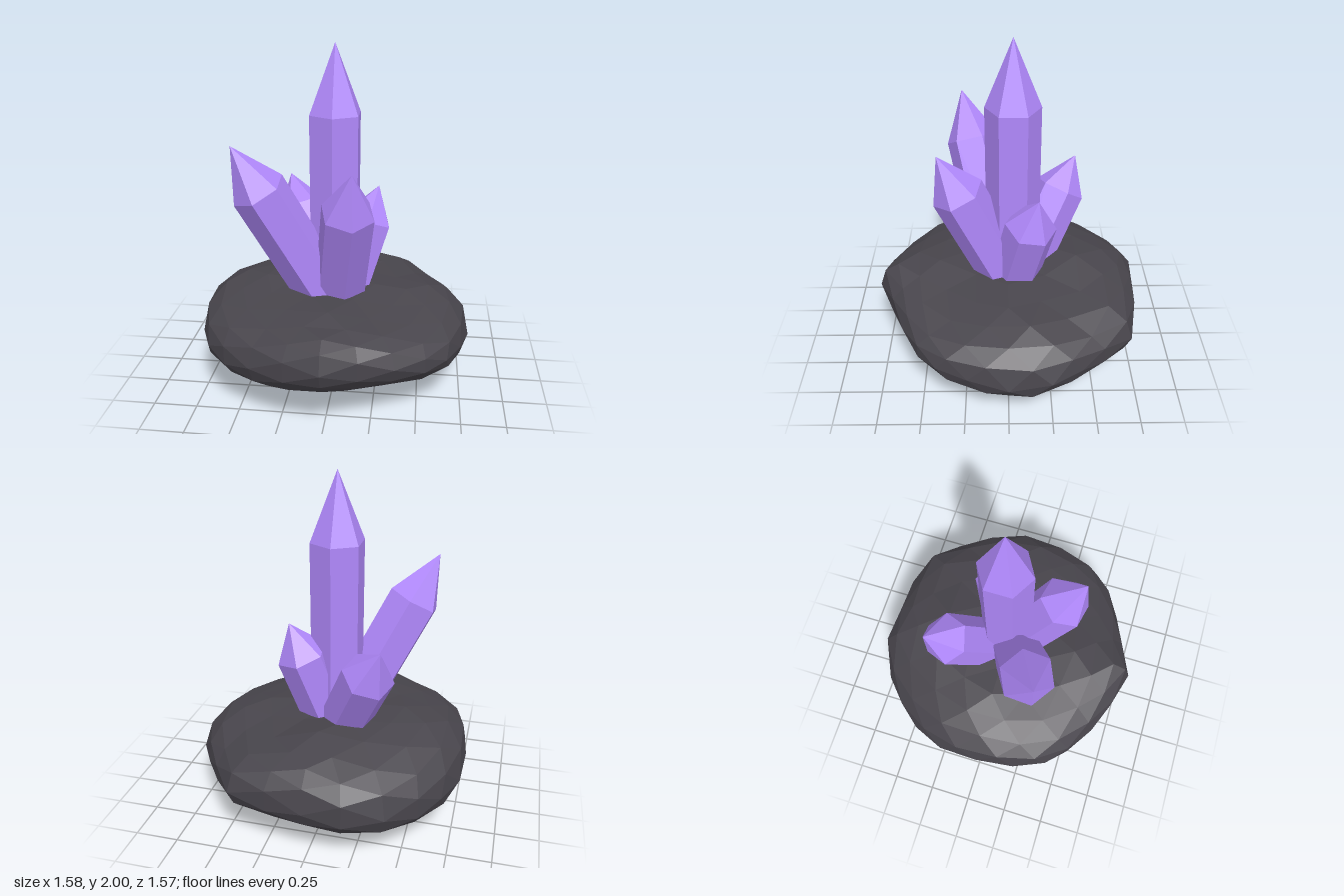
import * as THREE from 'three';

const crystalMaterial = new THREE.MeshStandardMaterial({ color: 0xb088fb, flatShading: true });
const rockMaterial = new THREE.MeshStandardMaterial({ color: 0x48454c, flatShading: true });

// Rock outline seen from above: radius at equal angles, from +x towards +z
const outline = [
  0.79, 0.77, 0.775, 0.75, 0.715, 0.72, 0.78, 0.76, 0.755, 0.78, 0.80, 0.79,
  0.785, 0.81, 0.815, 0.815, 0.82, 0.82, 0.785, 0.79, 0.84, 0.79, 0.78, 0.805,
];
// At equal angles: height of the widest line, height the top swells to, depth of the underside
const rimHeight = [0.29, 0.35, 0.40, 0.34, 0.34, 0.295, 0.34, 0.34];
const topHeight = [0.61, 0.53, 0.68, 0.61, 0.70, 0.62, 0.69, 0.56];
const underDepth = [0.33, 0.27, 0.27, 0.32, 0.35, 0.33, 0.29, 0.30];

// Value of a table around the y axis in the direction of (x, z)
function around(table, x, z) {
  const n = table.length;
  const a = ((Math.atan2(z, x) / (2 * Math.PI)) * n + n) % n;
  const i = Math.floor(a);
  return THREE.MathUtils.lerp(table[i % n], table[(i + 1) % n], a - i);
}

const bump = (x, z, cx, cz, w) => Math.exp(-((x - cx) ** 2 + (z - cz) ** 2) / (w * w));

// Faceted boulder: a low-poly sphere with a flattened, uneven top and a bulging underside
function makeRock() {
  const { lerp } = THREE.MathUtils;
  const geometry = new THREE.IcosahedronGeometry(1, 3);
  const p = geometry.attributes.position;
  for (let i = 0; i < p.count; i++) {
    const up = p.getY(i);
    const out = Math.hypot(p.getX(i), p.getZ(i));
    const r = around(outline, p.getX(i), p.getZ(i)) * 1.005;
    const x = p.getX(i) * r;
    const z = p.getZ(i) * r;
    const middle = lerp(0.35, around(rimHeight, x, z), out * out);
    const top = lerp(0.57, around(topHeight, x, z), out) + 0.03 * bump(x, z, -0.2, -0.3, 0.3);
    const depth = lerp(0.29, around(underDepth, x, z), out) + 0.075 * bump(x, z, -0.15, -0.25, 0.26);
    const ripple = 0.01 * Math.sin(9 * x + 2 * z) * Math.cos(8 * z - 3 * x);
    const y = up > 0 ? lerp(middle, top, up ** 0.75) : middle + up * depth;
    p.setXYZ(i, x, y + ripple, z);
  }
  geometry.computeBoundingBox();
  geometry.translate(0, -geometry.boundingBox.min.y, 0);
  geometry.computeVertexNormals();
  const rock = new THREE.Mesh(geometry, rockMaterial);
  rock.name = 'rockBase';
  return rock;
}

// Hexagonal prism with a pointed end, turned to its heading and then tilted from base to tip
function makeCrystal(name, base, tip, radius, pointLength) {
  const start = new THREE.Vector3(...base);
  const axis = new THREE.Vector3(...tip).sub(start);
  const length = axis.length();
  const profile = [[0, 0], [radius, 0], [radius, length - pointLength], [0, length]];
  const geometry = new THREE.LatheGeometry(profile.map(([x, y]) => new THREE.Vector2(x, y)), 6);
  const crystal = new THREE.Mesh(geometry, crystalMaterial);
  crystal.name = name;
  crystal.position.copy(start);
  crystal.rotation.set(Math.acos(axis.y / length), Math.atan2(axis.x, axis.z), 0, 'YXZ');
  return crystal;
}

export function createModel() {
  const model = new THREE.Group();
  model.name = 'crystalCluster';
  model.add(
    makeRock(),
    makeCrystal('centralCrystal', [-0.01, 0.4, -0.03], [-0.01, 2, -0.03], 0.157, 0.39),
    makeCrystal('rightLeaningCrystal', [-0.01, 0.42, 0.01], [-0.54, 1.485, 0.275], 0.158, 0.3),
    makeCrystal('frontCrystal', [0.01, 0.46, -0.01], [0.125, 1.38, 0.39], 0.154, 0.27),
    makeCrystal('leftLeaningCrystal', [0.02, 0.46, -0.03], [0.235, 1.155, -0.17], 0.15, 0.21),
    makeCrystal('backCrystal', [-0.02, 0.42, -0.05], [-0.335, 1.14, -0.415], 0.15, 0.22),
  );
  return model;
}
